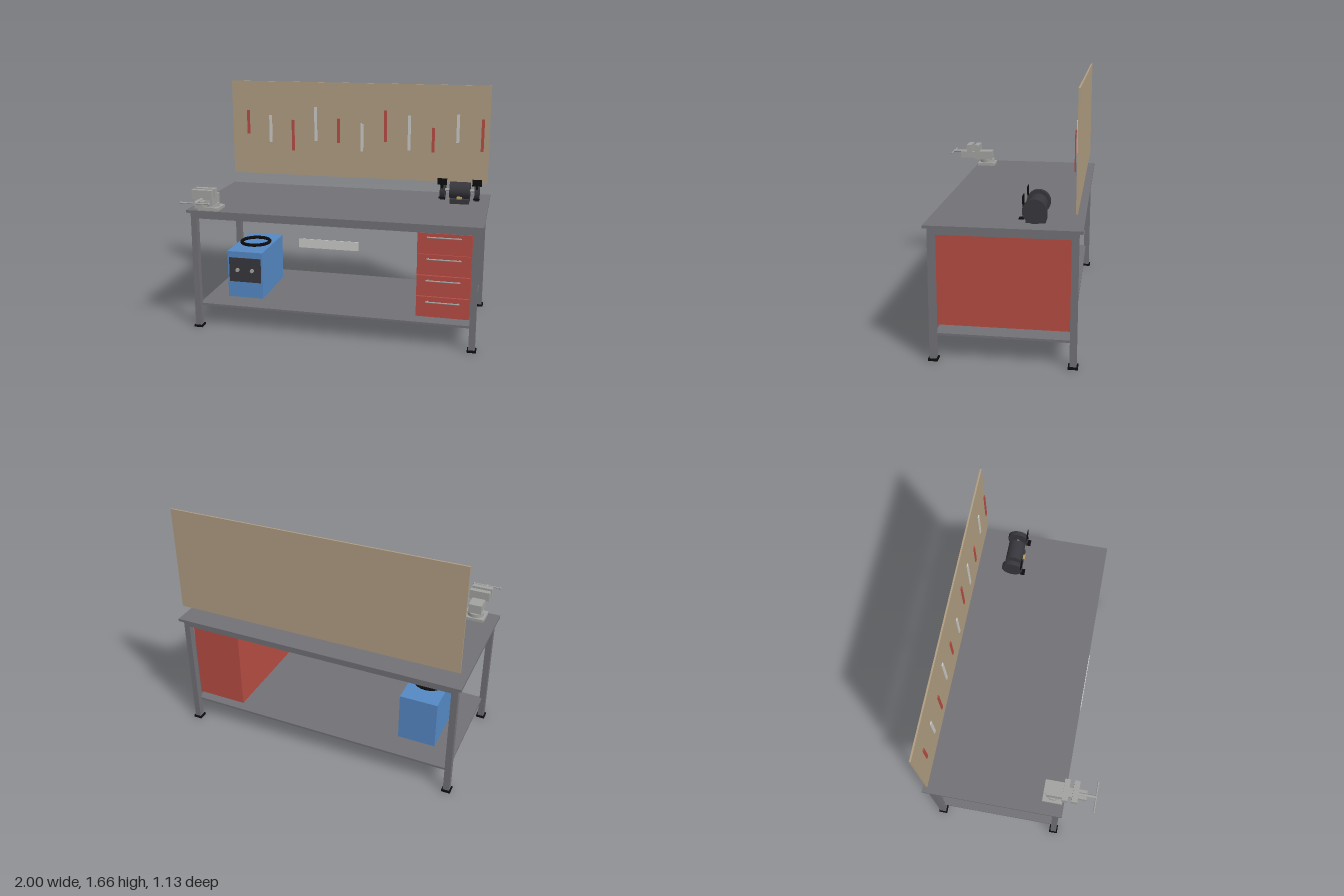
import * as THREE from 'three';

const mat = (name, color) => {
  const m = new THREE.MeshStandardMaterial({ color });
  m.name = name;
  return m;
};

export function createModel() {
  const steel = mat('grey steel', 0x717176);
  const red = mat('red paint', 0xb54c43);
  const blue = mat('blue paint', 0x5588c4);
  const wood = mat('tan board', 0xb09d82);
  const dark = mat('dark grey', 0x36363c);
  const black = mat('black rubber', 0x0c0c0d);
  const light = mat('light grey', 0xc9c9c6);
  const cast = mat('cast iron', 0xa2a3a0);
  const brass = mat('brass', 0xb59a5c);

  const model = new THREE.Group();
  model.name = 'workbench';
  const group = (name) => {
    const g = new THREE.Group();
    g.name = name;
    model.add(g);
    return g;
  };
  const add = (parent, name, geo, material, x = 0, y = 0, z = 0) => {
    const m = new THREE.Mesh(geo, material);
    m.name = name;
    m.position.set(x, y, z);
    parent.add(m);
    return m;
  };
  // Box given by its limits on each axis
  const box = (parent, name, material, [x0, x1], [y0, y1], [z0, z1]) =>
    add(parent, name, new THREE.BoxGeometry(x1 - x0, y1 - y0, z1 - z0), material,
      (x0 + x1) / 2, (y0 + y1) / 2, (z0 + z1) / 2);
  // Cylinder lying along an axis
  const rod = (parent, name, material, r, len, axis, x, y, z, seg = 32) => {
    const geo = new THREE.CylinderGeometry(r, r, len, seg);
    if (axis === 'x') geo.rotateZ(Math.PI / 2);
    if (axis === 'z') geo.rotateX(Math.PI / 2);
    return add(parent, name, geo, material, x, y, z);
  };
  const around = (c, w) => [c - w / 2, c + w / 2];

  // Frame: legs, feet, rails, shelf and top
  const frame = group('frame');
  const legX = 0.955, legZ = [0.323, -0.522], tube = 0.042;
  for (const s of [-1, 1]) {
    for (const z of legZ) {
      box(frame, 'leg', steel, around(s * legX, tube), [0.012, 0.837], around(z, tube));
      box(frame, 'foot', black, around(s * legX, 0.06), [0, 0.014], around(z, 0.06));
    }
    box(frame, 'sideRail', steel, around(s * legX, tube), [0.795, 0.837], [-0.501, 0.302]);
  }
  for (const z of legZ) {
    box(frame, 'longRail', steel, [-0.934, 0.934], [0.795, 0.837], around(z, tube));
  }
  box(frame, 'lowerShelf', steel, [-0.95, 0.95], [0.155, 0.17], [-0.515, 0.315]);
  box(frame, 'benchTop', steel, [-1, 1], [0.837, 0.855], [-0.567, 0.365]);
  box(frame, 'namePlate', light, [-0.2, 0.2], [0.649, 0.709], [0.366, 0.371]);

  // Drawer cabinet
  const cabinet = group('drawerCabinet');
  box(cabinet, 'cabinetBody', red, [0.58, 0.93], [0.217, 0.795], [-0.5, 0.32]);
  const step = 0.1445;
  for (let i = 0; i < 4; i++) {
    const top = 0.795 - i * step;
    box(cabinet, 'drawerFront', red, [0.582, 0.928], [top - step + 0.005, top - 0.001], [0.32, i ? 0.338 : 0.347]);
    const y = 0.769 - i * 0.1465;
    rod(cabinet, 'drawerHandle', cast, 0.005, 0.222, 'x', 0.756, y, 0.358, 12);
    for (const s of [-1, 1]) rod(cabinet, 'handlePost', cast, 0.004, 0.024, 'z', 0.756 + s * 0.1, y, 0.347, 8);
  }

  // Blue machine on the shelf
  const unit = group('shelfUnit');
  box(unit, 'unitBody', blue, [-0.8, -0.54], [0.17, 0.51], [-0.34, 0.143]);
  box(unit, 'controlPanel', dark, [-0.787, -0.552], [0.287, 0.465], [0.143, 0.149]);
  for (const s of [-1, 1]) rod(unit, 'knob', cast, 0.014, 0.012, 'z', -0.67 + s * 0.054, 0.376, 0.154, 20);
  const ring = new THREE.TorusGeometry(0.103, 0.012, 12, 40).rotateX(Math.PI / 2);
  add(unit, 'hoseRing', ring, black, -0.67, 0.521, -0.1);

  // Tool board with hanging tools
  const board = group('toolBoard');
  box(board, 'backBoard', wood, [-0.976, 0.976], [0.946, 1.656], [-0.532, -0.521]);
  const heights = [0.181, 0.206, 0.233, 0.258], centres = [1.345, 1.3, 1.255];
  for (let i = 0; i < 11; i++) {
    box(board, 'hangingTool', i % 2 ? light : red, around(-0.847 + i * 0.1775, 0.021),
      around(centres[i % 3], heights[i % 4]), [-0.513, -0.506]);
  }

  // Bench vise
  const vise = group('vise');
  const vx = -0.846;
  box(vise, 'viseBase', cast, around(vx, 0.145), [0.855, 0.876], [0.22, 0.352]);
  rod(vise, 'viseSwivel', cast, 0.057, 0.024, 'y', vx, 0.888, 0.287);
  box(vise, 'viseBody', cast, around(vx, 0.09), [0.898, 0.964], [0.245, 0.38]);
  box(vise, 'viseSlide', cast, around(vx, 0.06), [0.908, 0.954], [0.38, 0.5]);
  for (const [z0, z1] of [[0.345, 0.381], [0.407, 0.444]]) {
    box(vise, 'viseJaw', cast, around(vx, 0.14), [0.955, 1.018], [z0, z1]);
  }
  rod(vise, 'viseScrew', cast, 0.01, 0.125, 'z', vx, 0.957, 0.5, 16);
  rod(vise, 'viseHandle', cast, 0.005, 0.19, 'x', vx, 0.957, 0.559, 12);
  for (const s of [-1, 1]) {
    add(vise, 'handleBall', new THREE.SphereGeometry(0.008, 12, 8), cast, vx + s * 0.095, 0.957, 0.559);
  }

  // Bench grinder
  const grinder = group('grinder');
  const gx = 0.797, gy = 0.942, gz = -0.282;
  box(grinder, 'grinderBase', dark, around(gx, 0.135), [0.855, 0.887], [-0.34, -0.222]);
  rod(grinder, 'motor', dark, 0.059, 0.142, 'x', gx, gy, gz);
  rod(grinder, 'shaft', cast, 0.01, 0.25, 'x', gx, gy, gz, 16);
  box(grinder, 'switch', brass, around(gx, 0.035), [0.892, 0.906], [-0.245, -0.212]);
  for (const s of [-1, 1]) {
    const x = gx + s * 0.12;
    rod(grinder, 'grindingWheel', dark, 0.073, 0.032, 'x', x, gy, gz, 40);
    box(grinder, 'eyeShield', black, around(x, 0.066), [0.99, 1.036], [-0.218, -0.213]);
    box(grinder, 'shieldBracket', black, around(x, 0.014), [0.955, 0.995], [-0.222, -0.213]);
    box(grinder, 'toolRest', black, around(x, 0.045), [0.896, 0.902], [-0.222, -0.192]);
  }

  return model;
}
